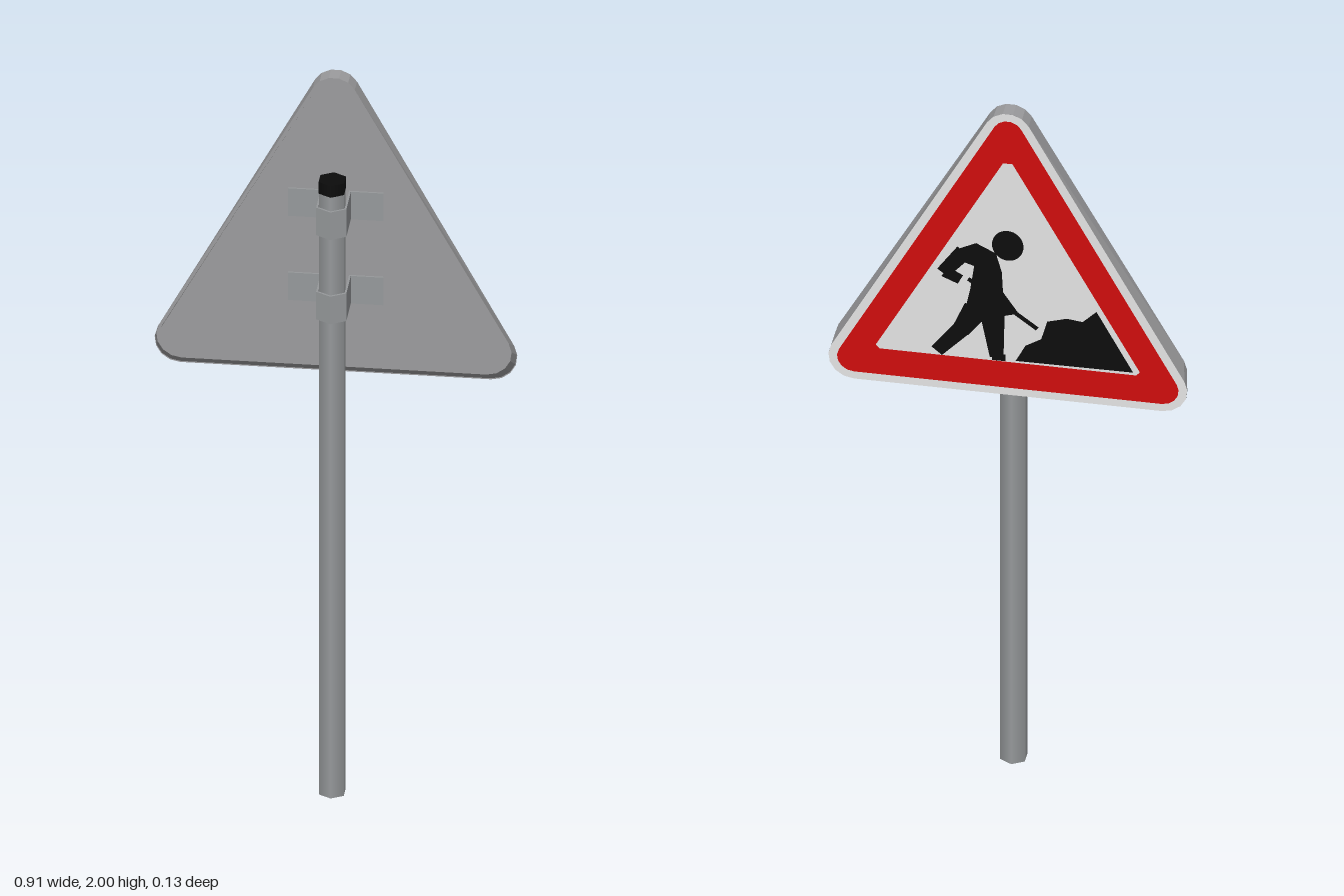
import * as THREE from 'three';

const mat = (name, color, side = THREE.FrontSide) => {
  const m = new THREE.MeshStandardMaterial({ color, side });
  m.name = name;
  return m;
};
const BACK = -0.061, FRONT = -0.016; // depth of the sign tray

// Rounded triangle as a ring of points, shrunk by inset
function outline(inset = 0, seg = 5) {
  const corners = [[0, 1.94, 0.06, 28, 152], [-0.39, 1.215, 0.065, 152, 270], [0.39, 1.215, 0.065, 270, 388]];
  const pts = [];
  for (const [cx, cy, r, a0, a1] of corners)
    for (let i = 0; i <= seg; i++) {
      const a = THREE.MathUtils.degToRad(a0 + (a1 - a0) * i / seg);
      pts.push(new THREE.Vector2(cx + (r - inset) * Math.cos(a), cy + (r - inset) * Math.sin(a)));
    }
  return pts;
}

// Wall strip joining two rings of points
function wall(a, za, b, zb) {
  const pos = [];
  a.forEach((p, i) => {
    const j = (i + 1) % a.length, q = a[j], r = b[i], s = b[j];
    pos.push(p.x, p.y, za, q.x, q.y, za, s.x, s.y, zb);
    pos.push(p.x, p.y, za, s.x, s.y, zb, r.x, r.y, zb);
  });
  const g = new THREE.BufferGeometry();
  g.setAttribute('position', new THREE.Float32BufferAttribute(pos, 3));
  g.computeVertexNormals();
  return g;
}

const poly = list => new THREE.Shape(list.map(([x, y]) => new THREE.Vector2(x, y)));

// Limb: flat strip between two points with its own width at each end
function limb(x0, y0, w0, x1, y1, w1) {
  const d = new THREE.Vector2(x1 - x0, y1 - y0).normalize(), nx = -d.y / 2, ny = d.x / 2;
  return poly([[x0 - nx * w0, y0 - ny * w0], [x1 - nx * w1, y1 - ny * w1],
    [x1 + nx * w1, y1 + ny * w1], [x0 + nx * w0, y0 + ny * w0]]);
}

export function createModel() {
  const model = new THREE.Group();
  const steel = mat('pole steel', 0x96999b);
  const sheet = mat('sheet grey', 0x9c9c9e, THREE.DoubleSide);
  const white = mat('sign white', 0xe4e4e4);
  const red = mat('sign red', 0xd00c0c);
  const black = mat('black', 0x0c0c0c);
  const add = (parent, name, geo, m) => {
    const mesh = new THREE.Mesh(geo, m);
    mesh.name = name;
    parent.add(mesh);
    return mesh;
  };

  // Six-sided pole and cap
  add(model, 'pole', new THREE.CylinderGeometry(0.036, 0.036, 1.7, 6), steel).position.set(0, 0.85, 0.02);
  add(model, 'poleCap', new THREE.CylinderGeometry(0.037, 0.037, 0.033, 6), black).position.set(0, 1.716, 0.02);

  // Hollow tray: back sheet and a rim that tapers toward the pole
  const tray = new THREE.Group();
  tray.name = 'signTray';
  model.add(tray);
  const taper = pts => pts.map(p => new THREE.Vector2(p.x * 0.98, 2 - (2 - p.y) * 0.959));
  const outer = outline(), inner = outline(0.008);
  const outerLip = taper(outer), innerLip = taper(inner);
  const sheetGeo = new THREE.ExtrudeGeometry(new THREE.Shape(outer), { depth: 0.004, bevelEnabled: false });
  add(tray, 'backSheet', sheetGeo.translate(0, 0, BACK), sheet);
  add(tray, 'rimOutside', wall(outer, BACK, outerLip, FRONT), sheet);
  add(tray, 'rimLip', wall(outerLip, FRONT, innerLip, FRONT), sheet);
  add(tray, 'rimInside', wall(innerLip, FRONT, inner, BACK + 0.004), sheet);

  // Two strap clamps wrapping the pole, with wings on the sheet
  const half = [[0.12, -0.052], [0.038, -0.052], [0.038, 0.041], [0, 0.063]];
  const halfIn = [[0.12, -0.057], [0.033, -0.057], [0.033, 0.038], [0, 0.057]];
  const mirror = list => list.slice(0, -1).reverse().map(([x, z]) => [-x, z]);
  const path = [...half, ...mirror(half), ...[...halfIn, ...mirror(halfIn)].reverse()];
  for (const [name, y] of [['lowerClamp', 1.345], ['upperClamp', 1.583]]) {
    const geo = new THREE.ExtrudeGeometry(poly(path.map(([x, z]) => [x, -z])), { depth: 0.078, bevelEnabled: false });
    add(model, name, geo.rotateX(-Math.PI / 2).translate(0, y, 0), steel);
  }

  // Painted face, turned to look toward -z
  const face = new THREE.Group();
  face.name = 'signFace';
  face.rotation.y = Math.PI;
  model.add(face);
  const paint = (name, shapes, m, layer) =>
    add(face, name, new THREE.ShapeGeometry(shapes, 16), m).position.z = -BACK + 0.001 * layer;

  paint('whiteField', new THREE.Shape(outer), white, 0.6);
  const ring = new THREE.Shape(outline(0.022));
  ring.holes.push(poly([[-0.012, 1.85], [-0.335, 1.26], [-0.325, 1.25], [0.325, 1.25], [0.335, 1.26], [0.012, 1.85]]));
  paint('redBorder', ring, red, 1.4);

  // Digging figure and heap
  const head = new THREE.Shape();
  head.absellipse(0, 1.602, 0.04, 0.045, 0, Math.PI * 2);
  paint('figureHead', head, black, 2);
  paint('figureBody', poly([[-0.13, 1.575], [-0.08, 1.6], [-0.03, 1.575], [-0.015, 1.52], [-0.012, 1.46],
    [0.028, 1.4], [-0.02, 1.385], [-0.11, 1.385], [-0.095, 1.46], [-0.085, 1.53], [-0.115, 1.54]]), black, 2);
  paint('figureArms', [limb(-0.11, 1.57, 0.045, -0.165, 1.5, 0.035),
    limb(-0.16, 1.505, 0.035, -0.12, 1.485, 0.03)], black, 2.2);
  paint('figureLegs', [limb(-0.08, 1.4, 0.065, -0.12, 1.33, 0.045), limb(-0.118, 1.335, 0.045, -0.18, 1.262, 0.035),
    limb(-0.04, 1.4, 0.065, -0.028, 1.262, 0.035), limb(-0.04, 1.262, 0.02, -0.005, 1.262, 0.02)], black, 2.4);
  paint('shovel', [limb(-0.1, 1.49, 0.012, 0.075, 1.36, 0.012)], black, 2.6);
  paint('heap', poly([[0.02, 1.256], [0.045, 1.305], [0.085, 1.33], [0.1, 1.385], [0.15, 1.4], [0.19, 1.395],
    [0.225, 1.43], [0.318, 1.258]]), black, 2);

  return model;
}
